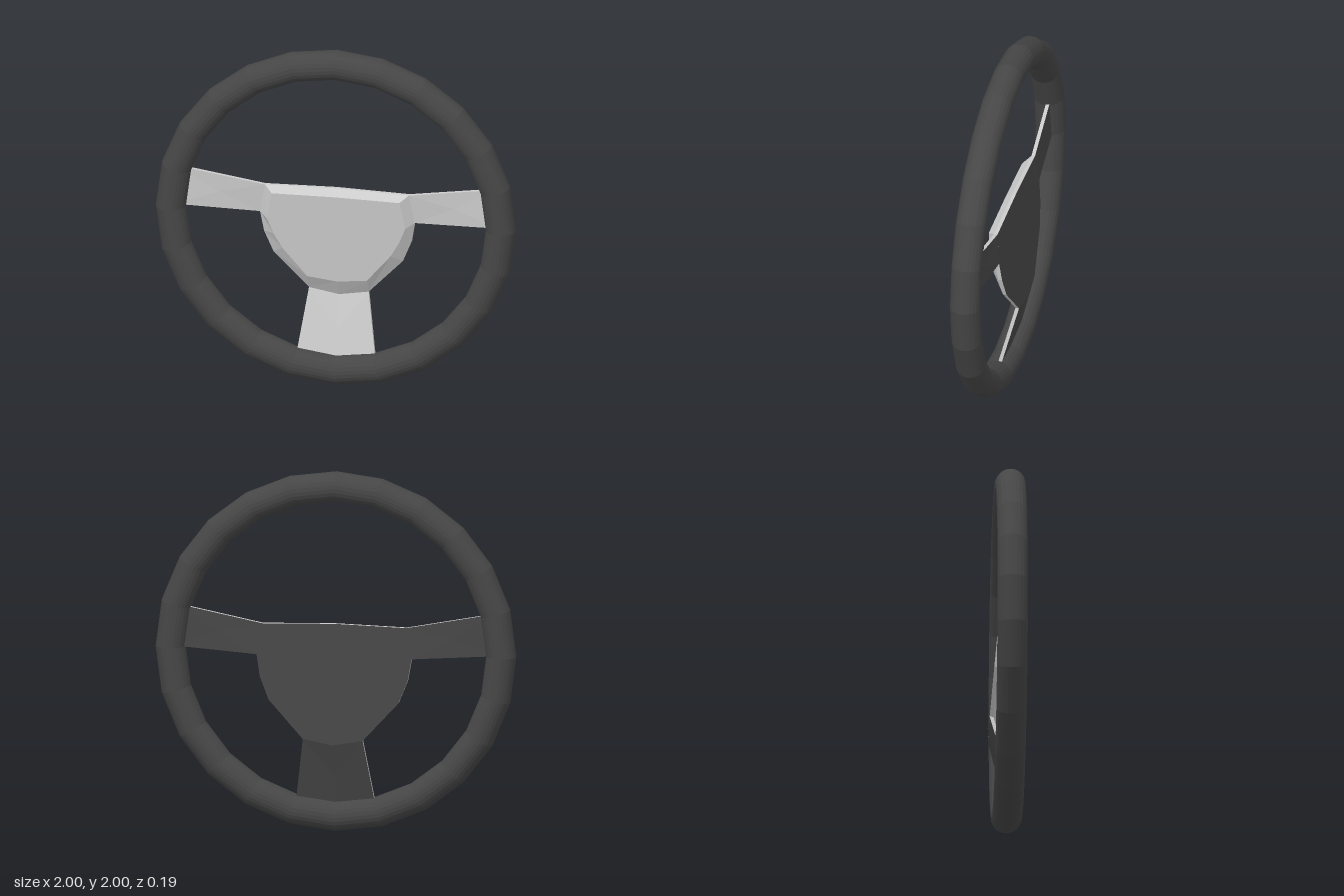
import * as THREE from 'three';

const grey = new THREE.MeshStandardMaterial({ color: 0xcccccc, flatShading: true });
const dark = new THREE.MeshStandardMaterial({ color: 0x464646, flatShading: true });

// Lofts closed rings (counterclockwise from the front, listed back to front), with optional caps.
function loft(rings, capBack, capFront) {
  const pos = [];
  const tri = (...pts) => pts.forEach((p) => pos.push(...p));
  const n = rings[0].length;
  const centre = (r) => [0, 1, 2].map((k) => r.reduce((s, p) => s + p[k], 0) / n);
  for (let i = 0; i < n; i++) {
    const j = (i + 1) % n;
    for (let k = 0; k + 1 < rings.length; k++) {
      const a = rings[k], b = rings[k + 1];
      tri(a[i], a[j], b[j], a[i], b[j], b[i]);
    }
    if (capBack) tri(centre(rings[0]), rings[0][j], rings[0][i]);
    const last = rings[rings.length - 1];
    if (capFront) tri(centre(last), last[i], last[j]);
  }
  const g = new THREE.BufferGeometry();
  g.setAttribute('position', new THREE.Float32BufferAttribute(pos, 3));
  g.computeVertexNormals();
  return g;
}

// Grey body with a dark rear face; the first ring lies at the back.
function plate(name, rings) {
  const part = new THREE.Group();
  part.name = name;
  const front = new THREE.Mesh(loft(rings, false, true), grey);
  front.name = name + 'Front';
  const back = new THREE.Mesh(loft([rings[0]], true, false), dark);
  back.name = name + 'Back';
  part.add(front, back);
  return part;
}

const mirror = (ring) => ring.map(([x, y, z]) => [-x, y, z]).reverse();
const push = (ring, d) => ring.map(([x, y, z]) => [x, y, z + d]);

// Completes a right half (bottom centre to top centre) and leans it along a tilted plane.
function hubRing(half, z0) {
  const all = [...half, ...half.slice(1, -1).reverse().map(([x, y]) => [-x, y])];
  return all.map(([x, y]) => [x, y, z0 + (y - 1.15) * 0.095]);
}

export function createModel() {
  const model = new THREE.Group();
  model.name = 'steeringWheel';
  const thick = 0.02;

  // Rim
  const rim = new THREE.Mesh(new THREE.TorusGeometry(0.917, 0.083, 24, 24), dark);
  rim.name = 'rim';
  rim.position.set(0, 1, 0.012);
  model.add(rim);

  // Hub: thin edge, sloping bevel, raised front pad
  const outer = hubRing([[0, 0.495], [0.166, 0.525], [0.36, 0.735], [0.41, 0.86],
    [0.43, 0.98], [0.4, 1.15], [0, 1.16]], -0.015);
  const inner = hubRing([[0, 0.595], [0.166, 0.615], [0.3, 0.78], [0.35, 0.87],
    [0.385, 0.96], [0.355, 1.12], [0, 1.125]], 0.03);
  model.add(plate('hub', [push(outer, -thick), outer, inner]));

  // Side spokes, rising from the hub into the rim
  const side = [[0.43, 0.98, -0.031], [0.9, 1.005, 0.012], [0.88, 1.237, 0.016], [0.4, 1.15, -0.015]];
  model.add(plate('leftSpoke', [push(side, -thick), side]));
  const other = mirror(side);
  model.add(plate('rightSpoke', [push(other, -thick), other]));

  // Lower spoke
  const lower = [[-0.224, 0.13, 0.025], [0, 0.1, 0.03], [0.224, 0.13, 0.025],
    [0.166, 0.525, -0.074], [0, 0.495, -0.077], [-0.166, 0.525, -0.074]];
  model.add(plate('lowerSpoke', [push(lower, -thick), lower]));

  return model;
}
